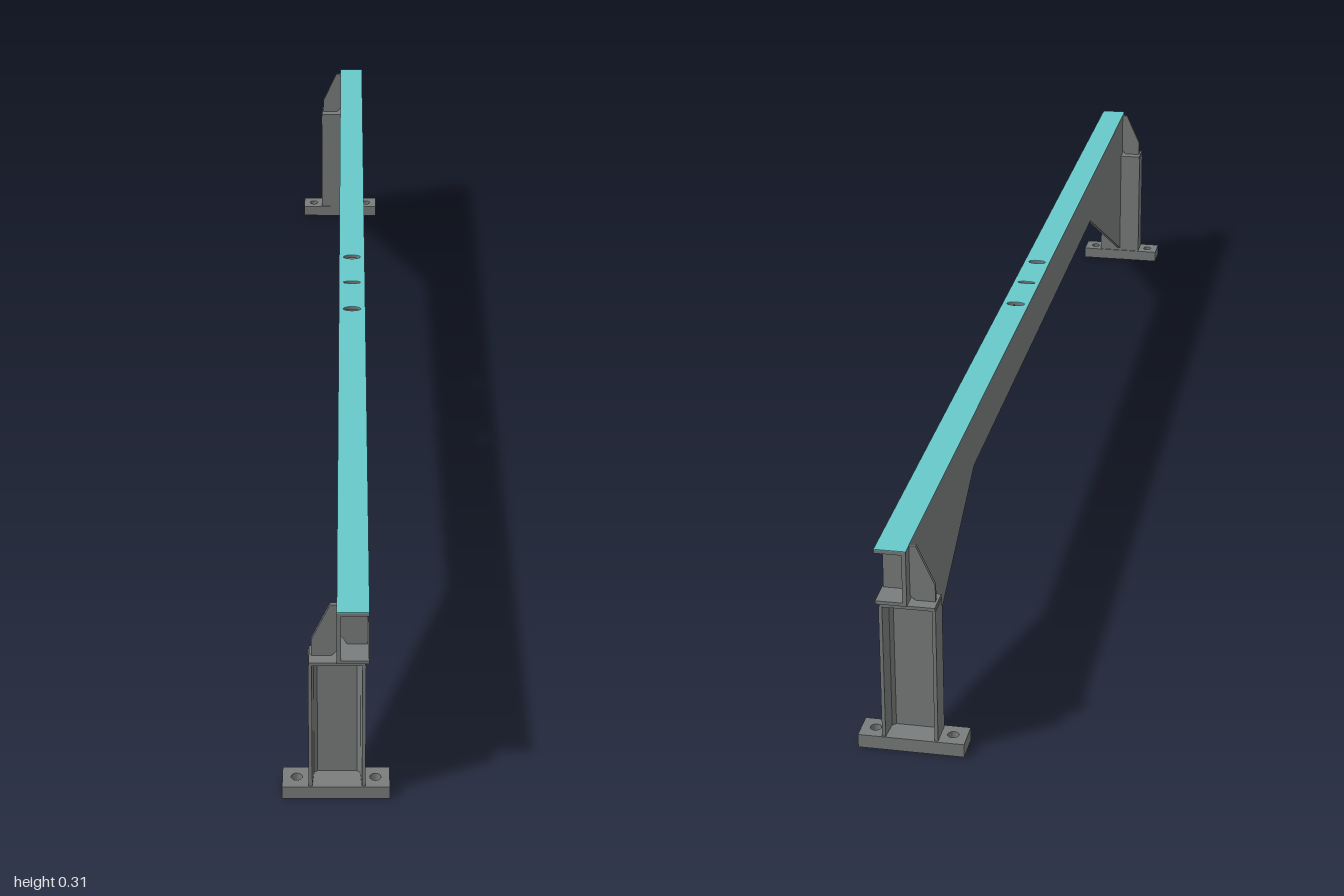
import * as THREE from 'three';

const steel = new THREE.MeshStandardMaterial({ color: 0x7a7d7d });
steel.name = 'grey steel';
const teal = new THREE.MeshStandardMaterial({ color: 0x66c8ca });
teal.name = 'teal paint';

const polygon = (points) => new THREE.Shape(points.map(([a, b]) => new THREE.Vector2(a, b)));
const extrude = (shape, depth) =>
  new THREE.ExtrudeGeometry(shape, { depth, bevelEnabled: false, curveSegments: 8 });

export function createModel() {
  const model = new THREE.Group();
  model.name = 'railBeam';

  function add(name, geometry, material = steel, parent = model) {
    const mesh = new THREE.Mesh(geometry, material);
    mesh.name = name;
    parent.add(mesh);
    return mesh;
  }
  // Horizontal plate: outline in x and -z, bottom at y
  const slab = (shape, y, height) => extrude(shape, height).rotateX(-Math.PI / 2).translate(0, y, 0);
  // Upright plate facing z, centred on z
  const upright = (points, z, t) => extrude(polygon(points), t).translate(0, 0, z - t / 2);

  // Web with the two triangular haunches, outline in z and y
  const outline = polygon([
    [-1, 0.31], [-1, 0.23], [-0.957, 0.23], [-0.957, 0.025], [-0.55, 0.23],
    [0.55, 0.23], [0.957, 0.025], [0.957, 0.23], [1, 0.23], [1, 0.31],
  ]);
  add('web', extrude(outline, 0.006).rotateY(-Math.PI / 2).translate(0.007, 0, 0));

  // Top flange and its painted face, both pierced by three slots
  function slottedStrip(x0, x1) {
    const shape = polygon([[x0, -1], [x1, -1], [x1, 1], [x0, 1]]);
    for (const z of [-0.1, 0, 0.1]) {
      const slot = new THREE.Path();
      slot.absellipse(0.023, z, 0.015, z === 0 ? 0.005 : 0.008, 0, Math.PI * 2);
      shape.holes.push(slot);
    }
    return shape;
  }
  add('topFlange', slab(slottedStrip(0.001, 0.045), 0.305, 0.005));
  add('paintedTop', slab(slottedStrip(0.001, 0.045), 0.31, 0.001), teal);
  add('bottomFlange', new THREE.BoxGeometry(0.044, 0.005, 2).translate(0.023, 0.2305, 0));

  // Stiffeners between the flanges, clipped at the web corners
  for (const z of [-0.957, -0.48, 0, 0.48, 0.957]) {
    add('stiffener', upright([
      [0.007, 0.245], [0.015, 0.233], [0.043, 0.233],
      [0.043, 0.305], [0.015, 0.305], [0.007, 0.296],
    ], z, 0.006));
  }

  // End supports
  for (const s of [1, -1]) {
    const support = new THREE.Group();
    support.name = s > 0 ? 'frontSupport' : 'backSupport';
    model.add(support);

    // Base plate with two bolt holes
    const base = polygon([[-0.075, -0.955 * s], [0.075, -0.955 * s], [0.075, -s], [-0.075, -s]]);
    for (const x of [-0.055, 0.055]) {
      const hole = new THREE.Path();
      hole.absarc(x, -0.977 * s, 0.008, 0, Math.PI * 2);
      base.holes.push(hole);
    }
    add('basePlate', slab(base, 0, 0.02), steel, support);

    // Channel post, open towards the end of the beam
    const half = [[0.041, 0.957], [0.041, 0.998], [0.036, 0.998], [0.034, 0.968], [0.029, 0.963]];
    const left = half.map(([x, z]) => [x, -z * s]);
    const right = half.map(([x, z]) => [0.003 - x, -z * s]).reverse();
    add('post', slab(polygon([...left, ...right]), 0.02, 0.203), steel, support);
    add('postCap', new THREE.BoxGeometry(0.077, 0.005, 0.041).translate(0.0015, 0.2255, 0.9775 * s),
      steel, support);

    // Tapered gusset behind the web
    add('gusset', upright([
      [-0.034, 0.228], [-0.006, 0.228], [0.001, 0.235], [0.001, 0.31], [-0.008, 0.31], [-0.034, 0.253],
    ], 0.977 * s, 0.006), steel, support);
  }
  return model;
}
